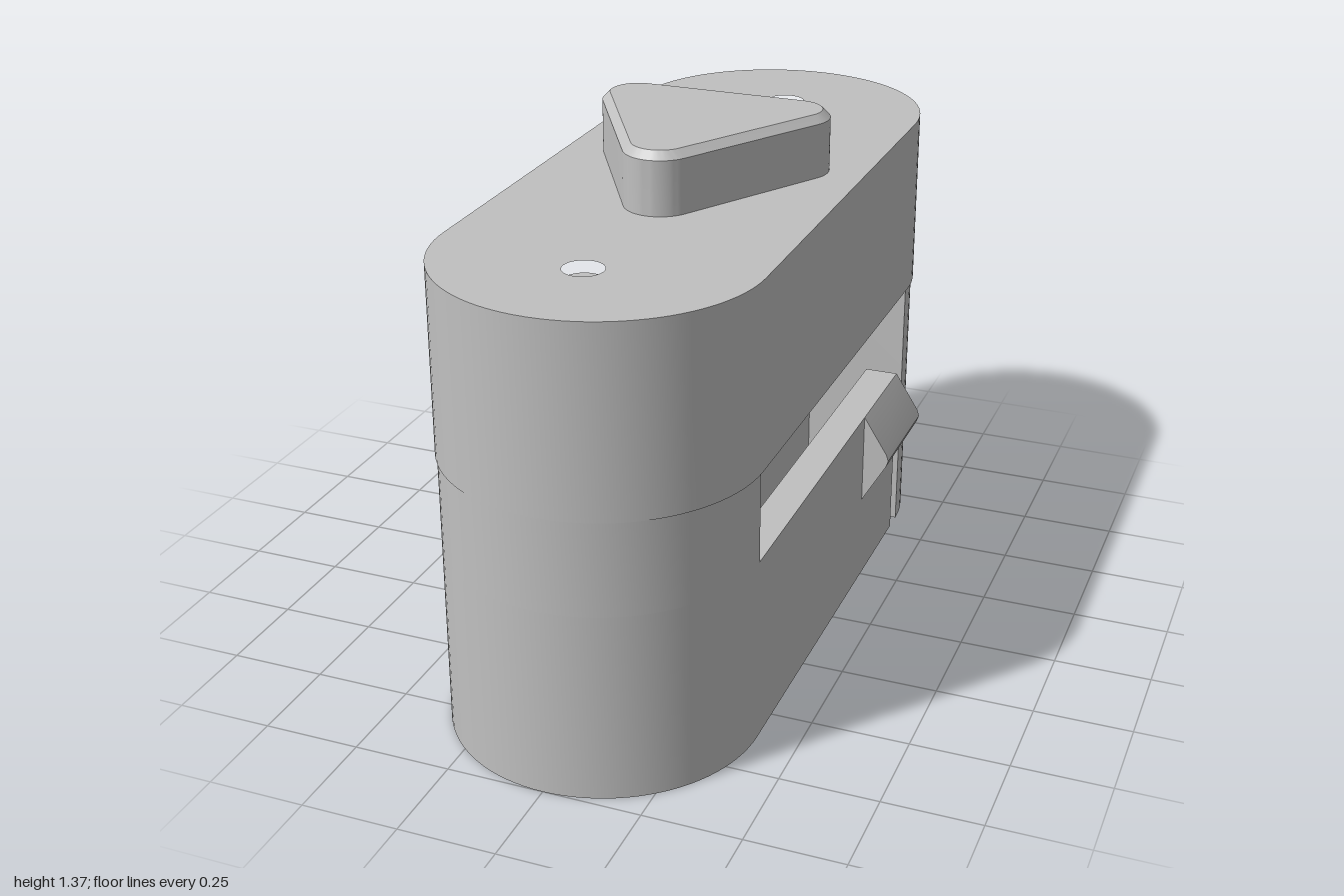
import * as THREE from 'three';
import { toCreasedNormals } from 'three/addons/utils/BufferGeometryUtils.js';

const grey = new THREE.MeshStandardMaterial({ color: 0xc0c0c0 });
grey.name = 'plain grey';

const STRAIGHT = 0.605; // half length of the straight sides
const CORE = 0.12;      // half thickness of the central web
const WAIST = 0.394;    // half width of the lower body

const toShape = (points) => new THREE.Shape(points.map(([x, y]) => new THREE.Vector2(x, y)));

// Mirrored capsule outline in plan (x, -z); sideCut lists extra points on the +x side, back to front
function planShape(halfWidth, sideCut = []) {
  const half = [];
  const n = 24, rz = 1 - STRAIGHT;
  for (let i = 0; i <= n; i++) {
    const a = (i / n) * Math.PI / 2;
    half.push([halfWidth * Math.sin(a), -STRAIGHT - rz * Math.cos(a)]);
  }
  half.push(...sideCut);
  for (let i = 0; i <= n; i++) {
    const a = (i / n) * Math.PI / 2;
    half.push([halfWidth * Math.cos(a), STRAIGHT + rz * Math.sin(a)]);
  }
  half[half.length - 1][0] = 0;
  const other = half.slice(1, -1).reverse().map(([x, z]) => [-x, z]);
  return toShape([...half, ...other].map(([x, z]) => [x, -z]));
}

function extrude(shape, depth, options = {}) {
  return new THREE.ExtrudeGeometry(shape, { depth, bevelEnabled: false, curveSegments: 24, ...options });
}

// Extrude a plan shape upward between two heights
function slab(shape, y0, y1) {
  return extrude(shape, y1 - y0).rotateX(-Math.PI / 2).translate(0, y0, 0);
}

export function createModel() {
  const model = new THREE.Group();
  const add = (name, geometry) => {
    const mesh = new THREE.Mesh(toCreasedNormals(geometry, 0.5), grey);
    mesh.name = name;
    model.add(mesh);
    return mesh;
  };

  // Upper cap with two shallow round recesses
  const cap = planShape(0.4);
  for (const z of [0.7, -0.69]) {
    const hole = new THREE.Path();
    hole.absarc(0, -z, 0.05, 0, Math.PI * 2, true);
    cap.holes.push(hole);
    add('recessFloor', new THREE.CircleGeometry(0.051, 32).rotateX(-Math.PI / 2).translate(0, 1.18, z));
  }
  add('upperCap', slab(cap, 0.73, 1.21));

  // Lower body with a flexible arm on each side, separated from the web by a slot
  const armIn = 0.305, armEnd = -0.55, f = 0.05;
  const slotCut = [[CORE, -STRAIGHT]];
  for (let i = 0; i <= 6; i++) { // rounded slot corners at the front
    const a = (i / 6) * Math.PI / 2;
    slotCut.push([CORE + f - f * Math.cos(a), 0.61 - f + f * Math.sin(a)]);
  }
  for (let i = 0; i <= 6; i++) {
    const a = (i / 6) * Math.PI / 2;
    slotCut.push([armIn - f + f * Math.sin(a), 0.61 - f + f * Math.cos(a)]);
  }
  slotCut.push([armIn, armEnd], [WAIST, armEnd]);
  add('lowerBodyWithArms', slab(planShape(WAIST, slotCut), 0, 0.49));

  // Body around the side windows
  add('windowBody', slab(planShape(WAIST, [[CORE, -STRAIGHT], [CORE, STRAIGHT]]), 0.49, 0.73));

  for (const s of [1, -1]) {
    // Sloping window ceiling
    const wedge = toShape([[CORE - 0.01, 0.43], [CORE, 0.43], [WAIST, 0.73], [CORE - 0.01, 0.73]].map(([x, y]) => [s * x, y]));
    add('windowSlope', extrude(wedge, 2 * STRAIGHT).translate(0, 0, -STRAIGHT));

    // Pointed catch at the free end of the arm
    const catchShape = toShape([
      [0.38, 0.49], [WAIST, 0.49], [0.459, 0.388], [0.465, 0.37], [0.459, 0.352], [WAIST, 0.24], [0.38, 0.24],
    ].map(([x, y]) => [s * x, y]));
    add('catch', extrude(catchShape, 0.31).translate(0, 0, armEnd));
  }

  // Rounded triangular button with a chamfered top, pointing forward
  const r = 0.092, cx = 0.213, zb = -0.128, zt = zb + cx * Math.sqrt(3);
  const button = new THREE.Shape();
  const arc = (x, z, from) => button.absarc(x, -z, r, from, from + Math.PI * 2 / 3, false);
  arc(cx, zb, -Math.PI / 6);
  arc(-cx, zb, Math.PI / 2);
  arc(0, zt, Math.PI * 7 / 6);
  const buttonGeometry = extrude(button, 0.16, {
    bevelEnabled: true, bevelSegments: 1, bevelSize: 0.02, bevelThickness: 0.02, bevelOffset: -0.02, curveSegments: 10,
  });
  add('triangularButton', buttonGeometry.rotateX(-Math.PI / 2).translate(0, 1.19, 0));

  return model;
}
